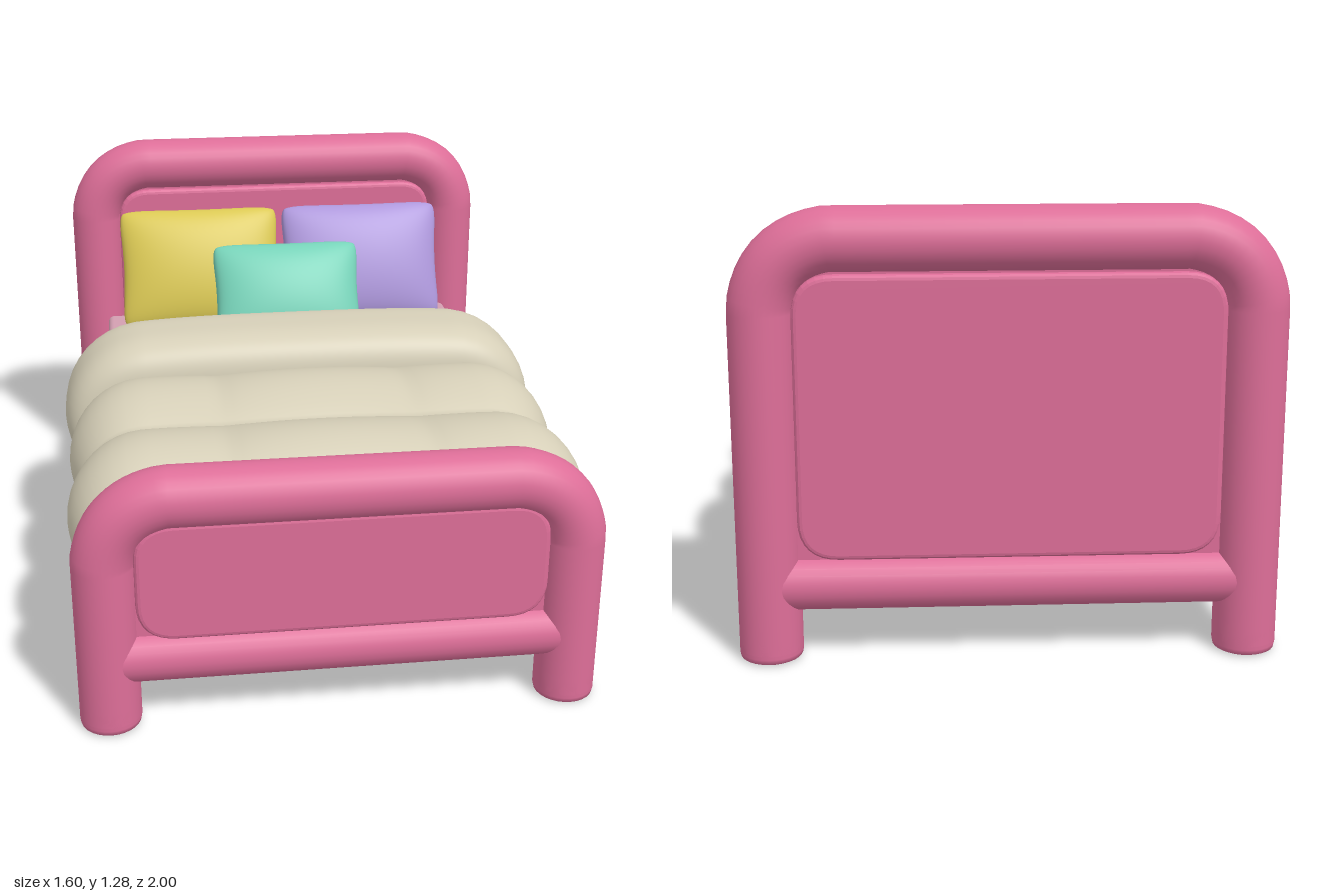
import * as THREE from 'three';
import { mergeVertices } from 'three/addons/utils/BufferGeometryUtils.js';
import { RoundedBoxGeometry } from 'three/addons/geometries/RoundedBoxGeometry.js';
import { ParametricGeometry } from 'three/addons/geometries/ParametricGeometry.js';

const mat = (name, color, side = THREE.FrontSide) => {
  const m = new THREE.MeshStandardMaterial({ color, side });
  m.name = name;
  return m;
};
const V = (x, y, z = 0) => new THREE.Vector3(x, y, z);
const LEG_X = 0.675, END_Z = 0.91, R = 0.09;

// Rounded hoop that forms the legs and top rail of one end of the bed
function hoopGeometry(top) {
  const c = 0.18, path = new THREE.CurvePath();
  path.add(new THREE.LineCurve3(V(-LEG_X, 0.03), V(-LEG_X, top - c)));
  path.add(new THREE.QuadraticBezierCurve3(V(-LEG_X, top - c), V(-LEG_X + 0.025, top - 0.025), V(-LEG_X + c, top)));
  path.add(new THREE.LineCurve3(V(-LEG_X + c, top), V(LEG_X - c, top)));
  path.add(new THREE.QuadraticBezierCurve3(V(LEG_X - c, top), V(LEG_X - 0.025, top - 0.025), V(LEG_X, top - c)));
  path.add(new THREE.LineCurve3(V(LEG_X, top - c), V(LEG_X, 0.03)));
  return new THREE.TubeGeometry(path, 120, R, 28);
}

// Bevelled panel with rounded corners, centred on z = 0
function panelGeometry(w, y0, y1, r, half) {
  const b = 0.015, x = w - b, lo = y0 + b, hi = y1 - b;
  const s = new THREE.Shape();
  s.moveTo(-x + r, lo);
  s.lineTo(x - r, lo).quadraticCurveTo(x, lo, x, lo + r);
  s.lineTo(x, hi - r).quadraticCurveTo(x, hi, x - r, hi);
  s.lineTo(-x + r, hi).quadraticCurveTo(-x, hi, -x, hi - r);
  s.lineTo(-x, lo + r).quadraticCurveTo(-x, lo, -x + r, lo);
  const depth = 2 * (half - b);
  return new THREE.ExtrudeGeometry(s, { depth, bevelSize: b, bevelThickness: b, bevelSegments: 3, curveSegments: 8 })
    .translate(0, 0, -depth / 2);
}

// Arch over the mattress: point and outward normal at signed length s from the middle
const FLAT = 0.54, ARC = 0.12, SIDE = 0.2;
const HALF = FLAT + ARC * Math.PI / 2 + SIDE;
function arch(s) {
  const a = Math.abs(s), sg = Math.sign(s) || 1;
  if (a < FLAT) return [s, 0.62, 0, 1];
  const t = Math.min((a - FLAT) / ARC, Math.PI / 2);
  const drop = Math.max(0, a - FLAT - ARC * Math.PI / 2);
  return [sg * (FLAT + ARC * Math.sin(t)), 0.5 + ARC * Math.cos(t) - drop, sg * Math.sin(t), Math.cos(t)];
}

// Quilt layer: the arch puffed outward, closing to nothing at its edges
const round = (s, n) => Math.pow(Math.max(0, 1 - Math.pow(Math.abs(s), n)), 1 / n);
function quiltGeometry(z0, z1, nz, puff) {
  const g = new ParametricGeometry((u, v, p) => {
    const su = Math.sin((0.5 - u) * Math.PI), sv = Math.sin((v - 0.5) * Math.PI);
    const s = su * HALF, z = (z0 + z1) / 2 + sv * (z1 - z0) / 2;
    const [x, y, nx, ny] = arch(s);
    const d = round(su, 3) * round(sv, nz) * puff(s, z, nx, ny);
    p.set(x + nx * d, y + ny * d, z);
  }, 110, 70);
  g.computeVertexNormals();
  return g;
}

// Plump cushion with pinched sides and soft corners
function pillowGeometry(w, h, t) {
  const g = new THREE.BoxGeometry(2, 2, 2, 32, 28, 1);
  g.deleteAttribute('normal');
  g.deleteAttribute('uv');
  const p = g.attributes.position;
  for (let i = 0; i < p.count; i++) {
    const u = Math.sin(p.getX(i) * Math.PI / 2), v = Math.sin(p.getY(i) * Math.PI / 2);
    const corner = 1 - 0.07 * Math.pow(u * v, 6);
    const belly = Math.pow(Math.max(0, (1 - u * u) * (1 - v * v)), 0.42);
    p.setXYZ(i,
      w / 2 * u * corner * (1 - 0.06 * (1 - v * v)),
      h / 2 * v * corner * (1 - 0.03 * (1 - u * u)),
      p.getZ(i) * (0.012 + (t / 2 - 0.012) * belly));
  }
  const m = mergeVertices(g, 1e-5);
  m.computeVertexNormals();
  return m;
}

export function createModel() {
  const bed = new THREE.Group();
  bed.name = 'bed';
  const pink = mat('frame pink', 0xdd6e98);
  const pale = mat('mattress pink', 0xd39fb1);
  const cream = mat('quilt cream', 0xd6cfb8, THREE.DoubleSide);
  const yellow = mat('pillow yellow', 0xdac854);
  const purple = mat('pillow purple', 0xae98dc);
  const teal = mat('pillow teal', 0x76d2b8);
  const add = (name, geo, material, x = 0, y = 0, z = 0, parent = bed) => {
    const m = new THREE.Mesh(geo, material);
    m.name = name;
    m.position.set(x, y, z);
    parent.add(m);
    return m;
  };

  // Headboard and footboard
  const foot = new THREE.LatheGeometry(
    [[0, 0], [0.075, 0], [0.087, 0.006], [R, 0.02], [R, 0.08]].map(([x, y]) => new THREE.Vector2(x, y)), 28);
  const crossRail = new THREE.CylinderGeometry(0.08, 0.08, 2 * LEG_X, 24).rotateZ(Math.PI / 2);
  for (const [name, z, top, panelTop, half] of [
    ['headboard', -END_Z, 1.19, 1.1, 0.05], ['footboard', END_Z, 0.715, 0.66, 0.065]]) {
    const end = new THREE.Group();
    end.name = name;
    end.position.z = z;
    bed.add(end);
    add('hoop', hoopGeometry(top), pink, 0, 0, 0, end);
    add('crossRail', crossRail, pink, 0, 0.22, 0, end);
    add('panelCore', panelGeometry(0.65, 0.22, top, 0.13, 0.03), pink, 0, 0, 0, end);
    add('raisedPanel', panelGeometry(0.59, 0.295, panelTop, 0.1, half), pink, 0, 0, 0, end);
    for (const s of [-1, 1]) add('legEnd', foot, pink, s * LEG_X, 0, 0, end);
  }

  // Side rails and base slab
  const sideRail = new THREE.CylinderGeometry(0.11, 0.11, 2 * END_Z, 28).rotateX(Math.PI / 2);
  for (const s of [-1, 1]) add('sideRail', sideRail, pink, s * 0.62, 0.25, 0);
  add('baseSlab', new THREE.BoxGeometry(1.26, 0.19, 2 * END_Z), pink, 0, 0.25, 0);

  // Mattress
  add('mattress', new RoundedBoxGeometry(1.3, 0.24, 1.64, 3, 0.02), pale, 0, 0.508, 0);

  // Quilt with stitched puffs, and its folded-over top
  const puffs = (s, z) => {
    const a = Math.abs(s);
    const seamX = a < 0.3 ? Math.cos(a / 0.3 * Math.PI / 2) : Math.sin(Math.min(1, (a - 0.3) / 0.3) * Math.PI / 2);
    const seamZ = Math.abs(Math.sin((z - 0.01) / 0.415 * Math.PI));
    return 0.08 + 0.068 * Math.pow(seamZ, 0.7) * (0.55 + 0.45 * Math.pow(seamX, 0.6));
  };
  add('quilt', quiltGeometry(-0.06, 0.8, 6, puffs), cream);
  add('quiltFold', quiltGeometry(-0.37, 0.01, 3.2, (s, z, nx) => 0.195 - 0.02 * Math.abs(nx)), cream);

  // Pillows leaning on the headboard
  const large = pillowGeometry(0.6, 0.44, 0.2);
  for (const [name, m, s] of [['rightPillow', yellow, -1], ['leftPillow', purple, 1]]) {
    add(name, large, m, s * 0.3, 0.845, -0.695).rotation.x = -0.37;
  }
  add('smallPillow', pillowGeometry(0.54, 0.38, 0.2), teal, 0, 0.8, -0.48).rotation.x = -0.5;

  return bed;
}
